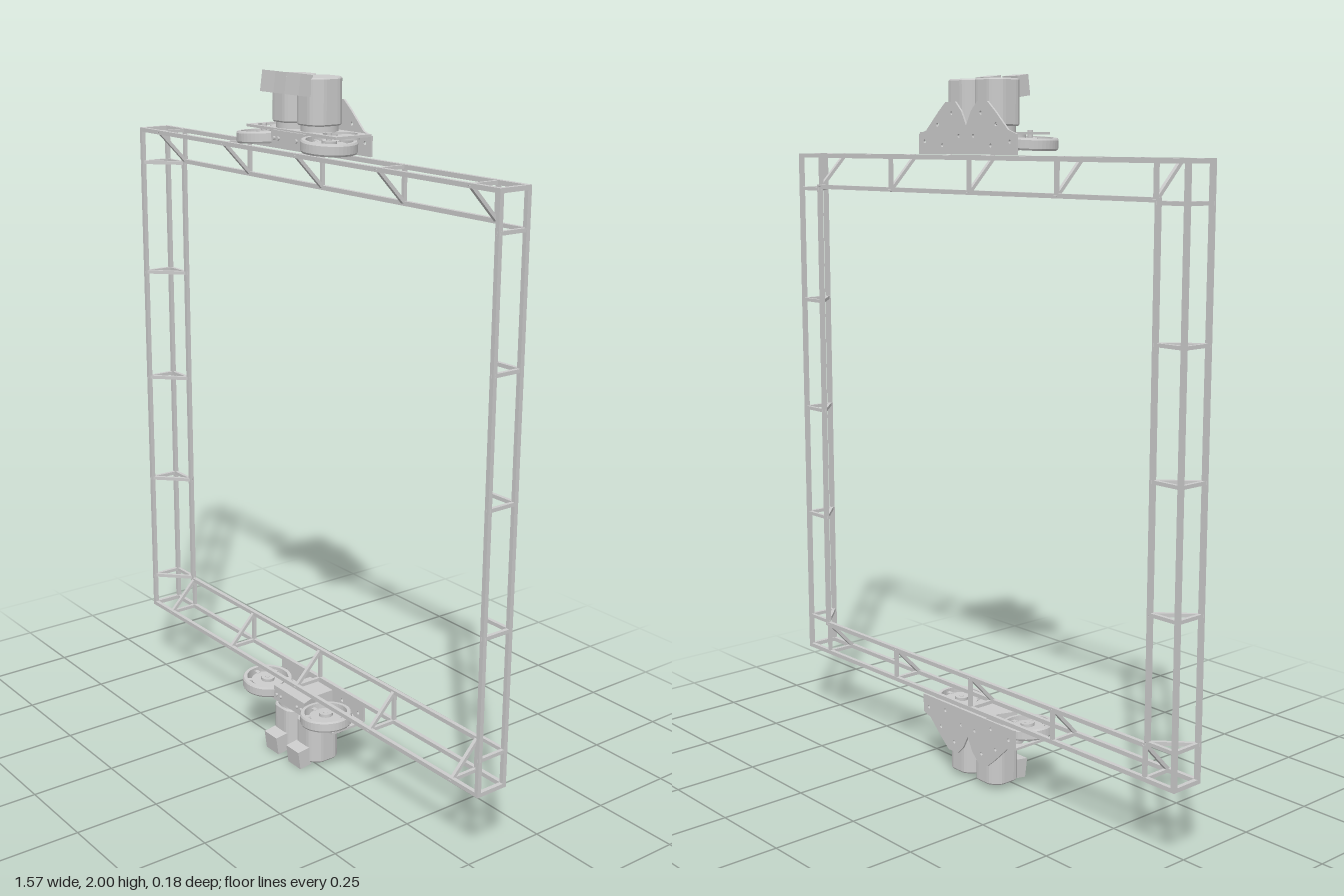
import * as THREE from 'three';

const material = new THREE.MeshStandardMaterial({ color: 0xcccccc, side: THREE.DoubleSide });
const flat = new THREE.MeshStandardMaterial({ color: 0xcccccc, flatShading: true });

function add(parent, name, geometry, x = 0, y = 0, z = 0, mat = material) {
  const mesh = new THREE.Mesh(geometry, mat);
  mesh.name = name;
  mesh.position.set(x, y, z);
  parent.add(mesh);
  return mesh;
}

// Square bar between two points
function bar(parent, name, a, b, t = 0.012) {
  const p = new THREE.Vector3(...a), q = new THREE.Vector3(...b);
  const mesh = add(parent, name, new THREE.BoxGeometry(t, t, p.distanceTo(q) + t * 0.9));
  mesh.position.copy(p).add(q).multiplyScalar(0.5);
  mesh.lookAt(q);
}

function polygon(points) {
  return new THREE.Shape(points.map(([x, y]) => new THREE.Vector2(x, y)));
}

function hole(shape, x, y, r) {
  shape.holes.push(new THREE.Path().absarc(x, y, r, 0, Math.PI * 2, true));
}

function slab(shape, depth) {
  return new THREE.ExtrudeGeometry(shape, { depth, bevelEnabled: false, curveSegments: 24 });
}

// One side of the square frame: a triangular truss along x, lying at +y
function buildTruss() {
  const truss = new THREE.Group();
  const outer = 0.777, inner = 0.685, front = 0.0085, back = -0.08;
  bar(truss, 'outerFrontRail', [-outer, outer, front], [outer, outer, front]);
  bar(truss, 'outerBackRail', [-outer, outer, back], [outer, outer, back]);
  bar(truss, 'innerRail', [-inner, inner, back], [inner, inner, back]);
  bar(truss, 'cornerTie', [outer, outer, front], [outer, outer, back]);
  for (let i = -2; i <= 2; i++) {
    const x = i * 0.339;
    bar(truss, 'braceAcross', [x, outer, front], [x, outer, back], 0.01);
    bar(truss, 'braceUpright', [x, outer, back], [x, inner, back], 0.01);
    bar(truss, 'braceDiagonal', [x, outer, front], [x, inner, back], 0.01);
  }
  return truss;
}

// Spoked wheel around the y axis
function buildWheel() {
  const wheel = new THREE.Group();
  wheel.name = 'wheel';
  const rim = [[0.062, -0.016], [0.072, -0.016], [0.075, -0.011], [0.075, 0.011],
    [0.072, 0.016], [0.062, 0.016], [0.062, -0.016]].map(([x, y]) => new THREE.Vector2(x, y));
  add(wheel, 'rim', new THREE.LatheGeometry(rim, 40), 0, 0, 0, flat);
  add(wheel, 'hubDisc', new THREE.CylinderGeometry(0.048, 0.048, 0.012, 32));
  add(wheel, 'hub', new THREE.CylinderGeometry(0.02, 0.02, 0.03, 20));
  for (let i = 0; i < 6; i++) {
    const a = i * Math.PI / 3;
    const spoke = add(wheel, 'spoke', new THREE.BoxGeometry(0.02, 0.014, 0.012),
      Math.cos(a) * 0.054, 0, -Math.sin(a) * 0.054);
    spoke.rotation.y = a;
  }
  return wheel;
}

// Motor: round body with four flats, collar and tilted connector box
function buildMotor() {
  const motor = new THREE.Group();
  motor.name = 'motor';
  const outline = [];
  for (let i = 0; i < 40; i++) {
    const a = i * Math.PI / 20;
    outline.push([Math.cos(a), Math.sin(a)].map((v) => THREE.MathUtils.clamp(v * 0.056, -0.051, 0.051)));
  }
  const body = new THREE.ExtrudeGeometry(polygon(outline),
    { depth: 0.116, bevelThickness: 0.004, bevelSize: 0.003, bevelSegments: 1 });
  body.rotateX(-Math.PI / 2);
  add(motor, 'motorBody', body, 0, 0.865, -0.027);
  add(motor, 'motorCollar', new THREE.CylinderGeometry(0.05, 0.05, 0.02, 32), 0, 0.854, -0.027);
  const box = add(motor, 'connectorBox', new THREE.BoxGeometry(0.06, 0.056, 0.04), 0, 0.967, 0.041);
  box.rotation.x = -0.14;
  return motor;
}

// Drive unit, sitting above the upper truss
function buildDrive() {
  const drive = new THREE.Group();

  // Upright plate with two humps behind the motors
  const half = [[0.2, 0.786], [0.2, 0.84], [0.168, 0.85], [0.115, 0.9], [0.085, 0.925],
    [0.045, 0.925], [0.02, 0.9], [0, 0.862]];
  const mirrored = half.slice(0, -1).reverse().map(([x, y]) => [-x, y]);
  const back = polygon([...half, ...mirrored]);
  for (const s of [-1, 1]) {
    for (const [x, y] of [[0.175, 0.82], [0.12, 0.865], [0.06, 0.895], [0.03, 0.835], [0.1, 0.81]]) {
      hole(back, s * x, y, 0.005);
    }
  }
  add(drive, 'backPlate', slab(back, 0.006), 0, 0, -0.09);

  // Level plate, opened up over the wheels
  const deck = polygon([[-0.2, -0.03], [0.2, -0.03], [0.2, 0.086], [-0.2, 0.086]]);
  for (const s of [-1, 1]) hole(deck, s * 0.145, 0.026, 0.046);
  const deckGeometry = slab(deck, 0.007);
  deckGeometry.rotateX(-Math.PI / 2);
  add(drive, 'deckPlate', deckGeometry, 0, 0.838, 0);

  // Gear housing between the wheels
  const housing = slab(polygon([[-0.075, -0.036], [0.075, -0.036], [0.055, 0.02],
    [0.055, 0.084], [-0.055, 0.084], [-0.055, 0.02]]), 0.046);
  housing.rotateX(-Math.PI / 2);
  add(drive, 'gearHousing', housing, 0, 0.795, 0, flat);

  for (const s of [-1, 1]) {
    const motor = buildMotor();
    motor.position.x = s * 0.055;
    drive.add(motor);
    const wheel = buildWheel();
    wheel.position.set(s * 0.145, 0.816, 0.01);
    wheel.rotation.z = -s * 0.06;
    drive.add(wheel);
    add(drive, 'axle', new THREE.CylinderGeometry(0.008, 0.008, 0.05, 12), s * 0.145, 0.825, 0.01);
    add(drive, 'pulley', new THREE.CylinderGeometry(0.03, 0.03, 0.01, 24), s * 0.15, 0.835, -0.05);
    for (const x of [0.04, 0.06]) {
      const bolt = add(drive, 'bolt', new THREE.CylinderGeometry(0.005, 0.005, 0.008, 8), s * x, 0.82, 0.038);
      bolt.rotation.x = Math.PI / 2;
    }
  }
  return drive;
}

export function createModel() {
  const model = new THREE.Group();
  model.name = 'drivenFrame';
  const assembly = new THREE.Group();
  assembly.name = 'assembly';
  assembly.position.y = 1;
  model.add(assembly);

  // Four trusses turned around the centre, slightly skewed
  const frame = new THREE.Group();
  frame.name = 'squareFrame';
  frame.rotation.y = 0.0075;
  assembly.add(frame);
  ['topTruss', 'rightTruss', 'bottomTruss', 'leftTruss'].forEach((name, i) => {
    const truss = buildTruss();
    truss.name = name;
    truss.rotation.z = i * Math.PI / 2;
    frame.add(truss);
  });

  // Drive units above and below
  ['topDrive', 'bottomDrive'].forEach((name, i) => {
    const drive = buildDrive();
    drive.name = name;
    drive.rotation.z = i * Math.PI;
    assembly.add(drive);
  });
  return model;
}
